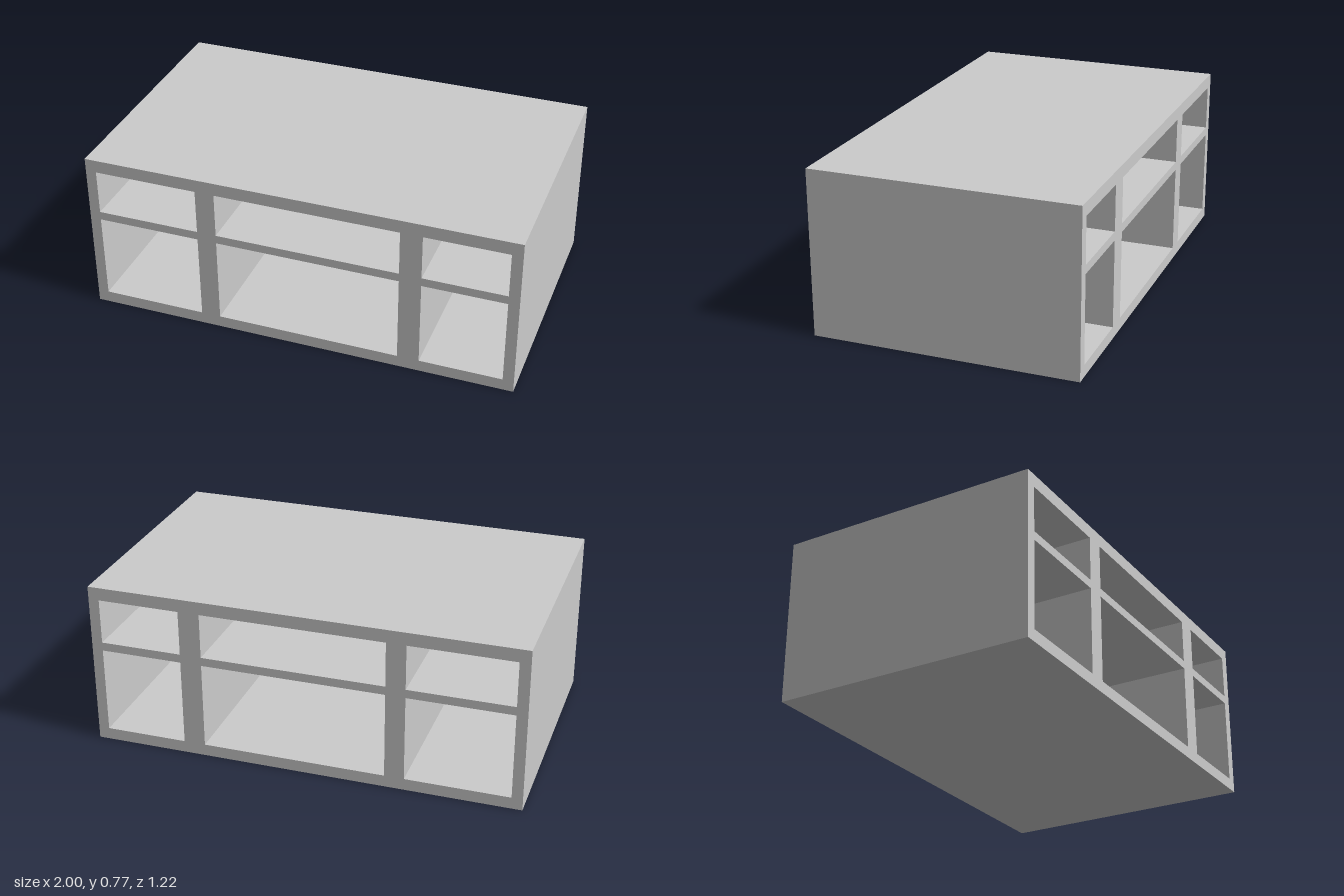
import * as THREE from 'three';

const WIDTH = 2, HEIGHT = 0.77, DEPTH = 1.22;
// Openings: three columns by two rows, [from, to]
const COLUMNS = [[-0.95, -0.47], [-0.38, 0.47], [0.57, 0.95]];
const ROWS = [[0.055, 0.46], [0.5, 0.71]];

function rectangle(Type, x0, x1, y0, y1) {
  const r = new Type();
  r.moveTo(x0, y0);
  r.lineTo(x1, y0);
  r.lineTo(x1, y1);
  r.lineTo(x0, y1);
  r.closePath();
  return r;
}

export function createModel() {
  const group = new THREE.Group();
  group.name = 'openShelfUnit';

  // Outer frame, dividers and shelf as one solid, open from front to back
  const outline = rectangle(THREE.Shape, -WIDTH / 2, WIDTH / 2, 0, HEIGHT);
  for (const [x0, x1] of COLUMNS) {
    for (const [y0, y1] of ROWS) outline.holes.push(rectangle(THREE.Path, x0, x1, y0, y1));
  }
  const geometry = new THREE.ExtrudeGeometry(outline, { depth: DEPTH, bevelEnabled: false });
  geometry.translate(0, 0, -DEPTH / 2);

  const cabinet = new THREE.Mesh(geometry, new THREE.MeshStandardMaterial({ color: 0xcccccc }));
  cabinet.name = 'cabinetFrame';
  group.add(cabinet);
  return group;
}
